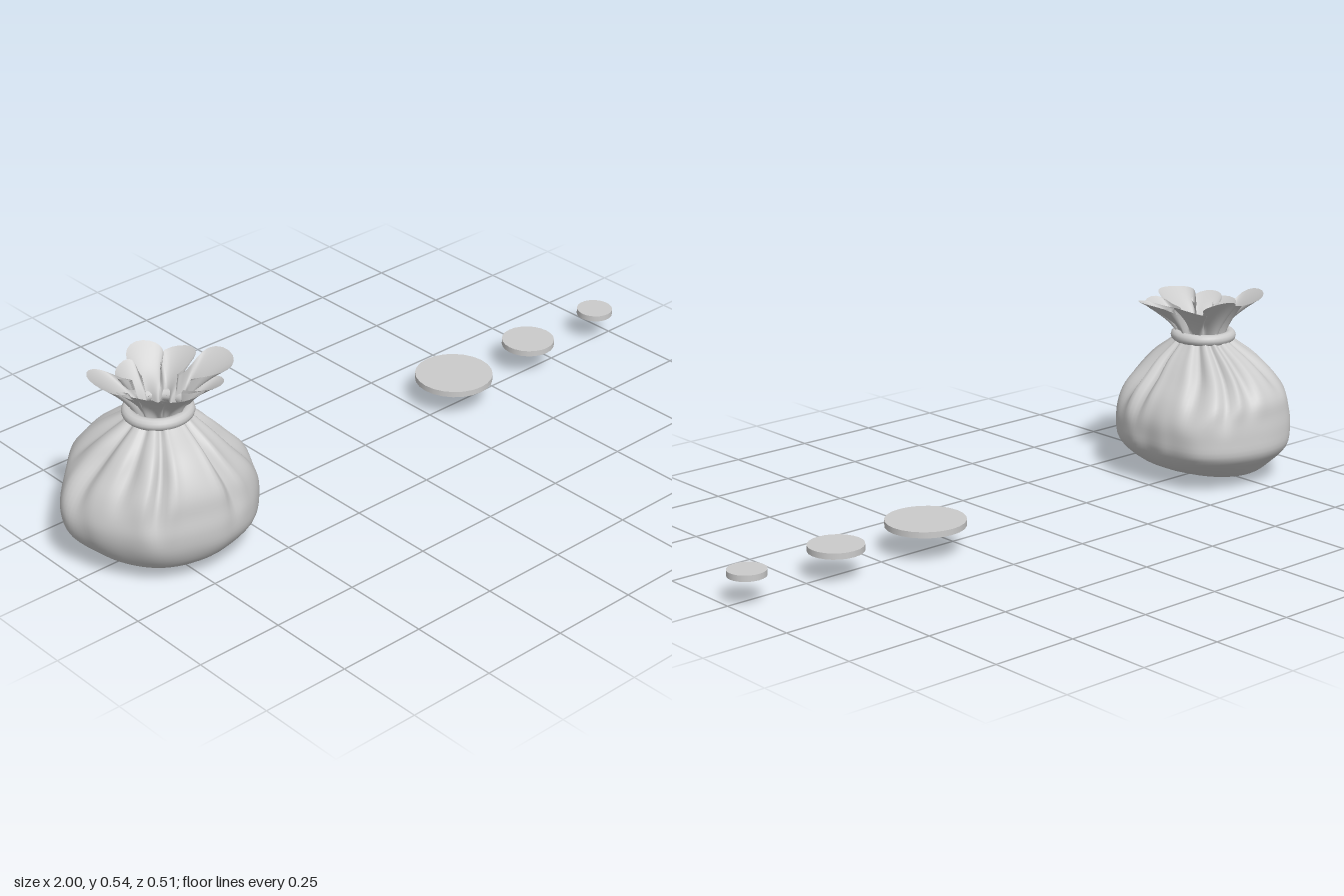
import * as THREE from 'three';

const material = new THREE.MeshStandardMaterial({ color: 0xcccccc, roughness: 0.8 });
const clothMaterial = material.clone();
clothMaterial.side = THREE.DoubleSide;

// Smooth surface closed around the y axis; point(angle, v) returns [x, y, z], v runs upward
function closedSurface(cols, rows, point) {
  const pos = [], idx = [];
  for (let j = 0; j <= rows; j++)
    for (let i = 0; i < cols; i++) pos.push(...point((i / cols) * Math.PI * 2, j / rows));
  for (let j = 0; j < rows; j++)
    for (let i = 0; i < cols; i++) {
      const a = j * cols + i, b = j * cols + ((i + 1) % cols);
      idx.push(a, a + cols, b, b, a + cols, b + cols);
    }
  const g = new THREE.BufferGeometry();
  g.setAttribute('position', new THREE.Float32BufferAttribute(pos, 3));
  g.setIndex(idx);
  g.computeVertexNormals();
  return g;
}

function addMesh(group, name, geometry, mat = material) {
  const m = new THREE.Mesh(geometry, mat);
  m.name = name;
  group.add(m);
  return m;
}

const angleDiff = (a, b) => Math.atan2(Math.sin(a - b), Math.cos(a - b));

// Sack body cross-sections: y, centre x, centre z, x radius, z radius
const sections = [
  [0.002, -0.75, -0.075, 0, 0],
  [0.006, -0.75, -0.055, 0.055, 0.05],
  [0.023, -0.745, -0.015, 0.13, 0.15],
  [0.053, -0.735, 0.0, 0.195, 0.205],
  [0.105, -0.735, -0.003, 0.246, 0.25],
  [0.16, -0.74, 0.0, 0.26, 0.255],
  [0.21, -0.74, 0.0, 0.255, 0.248],
  [0.26, -0.74, 0.0, 0.227, 0.238],
  [0.31, -0.74, 0.006, 0.18, 0.203],
  [0.355, -0.738, 0.014, 0.137, 0.155],
  [0.395, -0.732, 0.016, 0.092, 0.098],
  [0.42, -0.73, 0.016, 0.07, 0.07],
];
// Uneven belly outline: angle, radius factor
const outline = [
  [0, 0.96], [0.25, 1.01], [0.6, 1.05], [0.96, 1.05], [1.4, 1.0], [1.86, 0.95], [2.22, 0.97],
  [2.6, 0.93], [3.0, 0.95], [3.3, 1.01], [3.9, 0.93], [4.4, 1.0], [4.85, 1.0], [5.6, 1.07],
  [6.0, 0.99], [Math.PI * 2, 0.96],
];
// Gathered creases: angle, half width, depth, height where the crease fades out
const creases = [
  [0.2, 0.07, 0.13, 0.13], [0.55, 0.12, 0.17, 0.16], [1.28, 0.07, 0.12, 0.13],
  [2.2, 0.08, 0.14, 0.13], [2.65, 0.1, 0.12, 0.2], [3.2, 0.1, 0.14, 0.14],
  [3.75, 0.12, 0.12, 0.25], [4.35, 0.1, 0.1, 0.25], [4.98, 0.09, 0.13, 0.2],
  [5.3, 0.07, 0.12, 0.16], [5.7, 0.1, 0.14, 0.17],
];

function outlineFactor(a) {
  const i = outline.findIndex(([angle]) => angle > a);
  const [a0, k0] = outline[i - 1], [a1, k1] = outline[i];
  return k0 + (k1 - k0) * THREE.MathUtils.smoothstep(a, a0, a1);
}

function bodyGeometry() {
  const centres = new THREE.CatmullRomCurve3(
    sections.map(([y, x, z]) => new THREE.Vector3(x, y, z)), false, 'catmullrom');
  const radii = new THREE.CatmullRomCurve3(
    sections.map(([y, , , rx, rz]) => new THREE.Vector3(rx, y, rz)), false, 'catmullrom');
  return closedSurface(128, 44, (a, v) => {
    const c = centres.getPoint(v), r = radii.getPoint(v);
    const belly = THREE.MathUtils.smoothstep(c.y, 0.01, 0.12) * (1 - THREE.MathUtils.smoothstep(c.y, 0.2, 0.36));
    let k = 1 + belly * (outlineFactor(a) - 1);
    for (const [angle, width, depth, end] of creases) {
      const fade = THREE.MathUtils.smoothstep(c.y, end, 0.36);
      const d = angleDiff(a, angle) / width;
      k -= depth * fade * (Math.exp(-d * d) - 0.3 * Math.exp(-((Math.abs(d) - 2) ** 2)));
    }
    return [c.x + r.x * k * Math.cos(a), c.y, c.z + r.z * k * Math.sin(a)];
  });
}

// Ruffle petals: angle, reach, tip height, half width
const petals = [
  [0.28, 0.2, 0.532, 0.34], [0.92, 0.168, 0.51, 0.3], [1.75, 0.17, 0.528, 0.4],
  [2.5, 0.135, 0.51, 0.34], [3.05, 0.13, 0.5, 0.26], [3.62, 0.185, 0.535, 0.34],
  [4.3, 0.12, 0.515, 0.32], [5.05, 0.145, 0.538, 0.36], [5.78, 0.155, 0.52, 0.32],
];

function ruffleGeometry() {
  return closedSurface(144, 14, (a, v) => {
    let reach = 0.07, tip = 0.488, twist = 0;
    for (const [angle, r, y, width] of petals) {
      const d = angleDiff(a, angle) / width;
      if (Math.abs(d) > 1) continue;
      const w = Math.cos((d * Math.PI) / 2);
      reach = Math.max(reach, 0.07 + (r - 0.07) * Math.pow(w, 0.8));
      // Each petal's edge rises toward one side of its tip
      tip = Math.max(tip, 0.488 + (y - 0.488) * Math.pow(w, 1.3) * (1 + 0.3 * d));
      twist = 0.22 * Math.sin(d * Math.PI);
    }
    const neck = 0.057 + 0.011 * Math.cos(9 * a);
    const r = neck + (reach - neck) * Math.pow(v, 1.25);
    const y = 0.405 + (tip + 0.006 * Math.sin(13 * a) - 0.405) * Math.pow(v, 0.88);
    const b = a + twist * v;
    return [-0.725 + r * Math.cos(b), y, 0.018 + r * Math.sin(b)];
  });
}

export function createModel() {
  const model = new THREE.Group();
  model.name = 'sackAndCoins';

  const sack = new THREE.Group();
  sack.name = 'sack';
  addMesh(sack, 'sackBody', bodyGeometry(), clothMaterial);
  addMesh(sack, 'sackRuffle', ruffleGeometry(), clothMaterial);

  // Rope tie around the neck
  const tie = addMesh(sack, 'neckTie', new THREE.TorusGeometry(0.079, 0.0165, 12, 40).rotateX(Math.PI / 2));
  tie.position.set(-0.731, 0.414, 0.016);
  model.add(sack);

  // Three flat coins of shrinking size
  const coins = [['largeCoin', 0.357, 0.112], ['mediumCoin', 0.661, 0.077], ['smallCoin', 0.947, 0.053]];
  for (const [name, x, r] of coins) {
    const coin = addMesh(model, name, new THREE.CylinderGeometry(r, r, 0.017, 24));
    coin.position.set(x, 0.086, -0.014);
  }
  return model;
}
